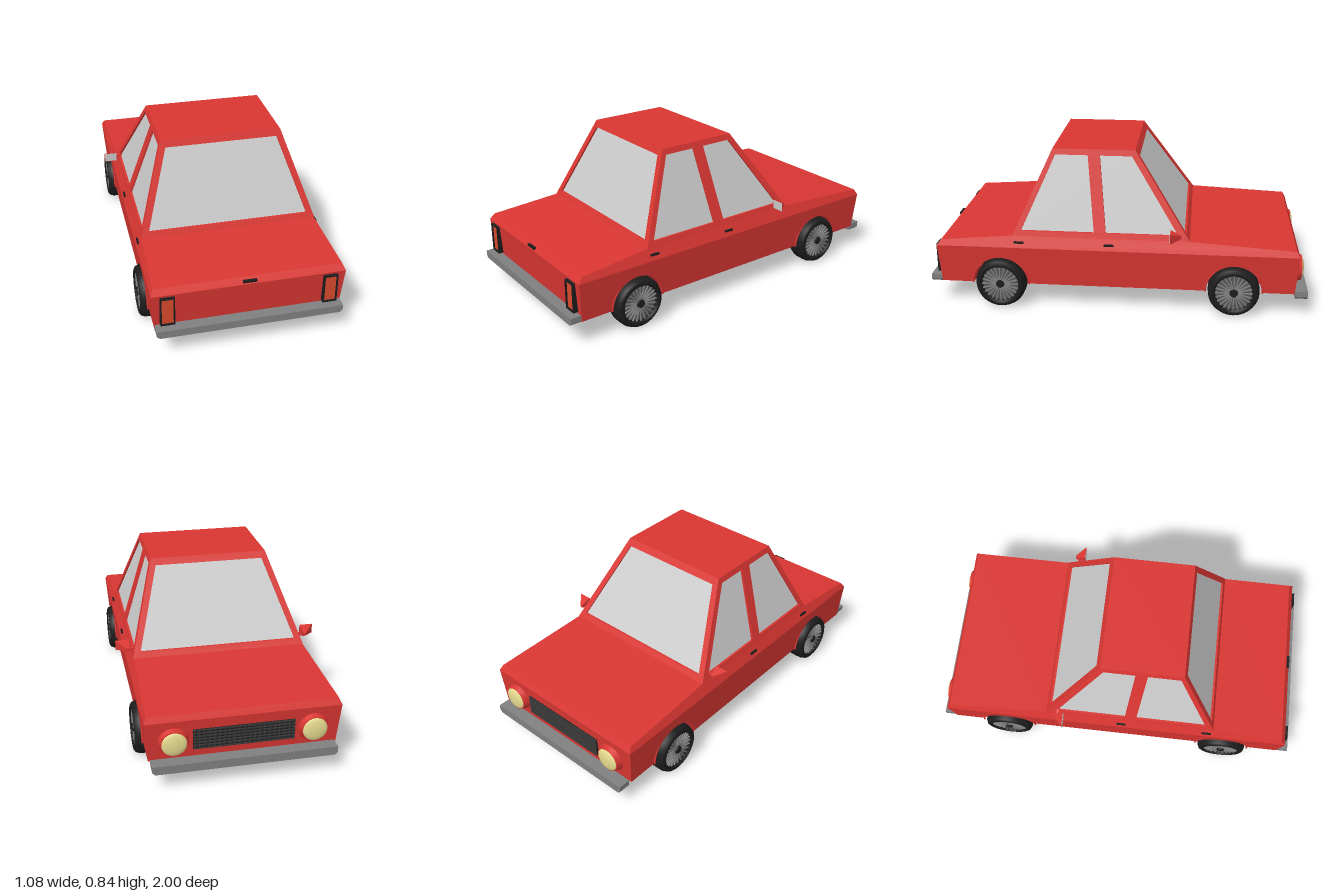
import * as THREE from 'three';

const paint = (color, extra = {}) => new THREE.MeshStandardMaterial({ color, ...extra });
const RED = paint(0xd93632), BLACK = paint(0x1c1c1c), STEEL = paint(0x808080), GLASS = paint(0xcccccc);
const LAMP = paint(0xe8dc90), TAIL = paint(0xd84a2c), GRILLE = paint(0x3a3a3a);

const lerp = (a, b, t) => a + (b - a) * t;
// Cabin outer faces as a function of height
const rise = y => (y - 0.4) / 0.44;
const sideX = y => lerp(0.46, 0.315, rise(y));
const rearZ = y => lerp(0.55, 0.35, rise(y));
const frontZ = y => lerp(-0.38, -0.085, rise(y));

const poly = pts => new THREE.Shape(pts.map(p => new THREE.Vector2(...p)));

// Move every vertex by a rule, then refresh the flat normals
function warp(geo, rule) {
  const p = geo.attributes.position;
  for (let i = 0; i < p.count; i++) p.setXYZ(i, ...rule(p.getX(i), p.getY(i), p.getZ(i)));
  geo.computeVertexNormals();
  return geo;
}

function extrude(shape, depth, curveSegments = 20) {
  return new THREE.ExtrudeGeometry(shape, { depth, bevelEnabled: false, curveSegments });
}

// Side profile drawn in (z, y), extruded across x and centred
function extrudeAcross(shape, width) {
  return extrude(shape, width).rotateY(-Math.PI / 2).translate(width / 2, 0, 0);
}

export function createModel() {
  const car = new THREE.Group();
  car.name = 'car';
  const add = (name, geo, mat, x = 0, y = 0, z = 0, parent = car) => {
    const m = new THREE.Mesh(geo, mat);
    m.name = name;
    m.position.set(x, y, z);
    parent.add(m);
    return m;
  };
  const box = (name, mat, w, h, d, x, y, z, parent) =>
    add(name, new THREE.BoxGeometry(w, h, d), mat, x, y, z, parent);

  const axles = [-0.615, 0.62];

  // Lower body with wheel arches, sides leaning outward to the shoulder line
  const lower = new THREE.Shape();
  lower.moveTo(0.94, 0.13);
  lower.lineTo(0.955, 0.34);
  lower.lineTo(-0.945, 0.34);
  lower.lineTo(-0.93, 0.13);
  for (const z of axles) lower.absarc(z, 0.13, 0.148, Math.PI, 0, true);
  add('lowerBody', warp(extrudeAcross(lower, 2), (x, y, z) =>
    [x * lerp(0.467, 0.484, (y - 0.13) / 0.21), y, z]), RED);
  box('floorCore', RED, 0.72, 0.2, 1.86, 0, 0.231, 0.005);

  // Hood, trunk lid and shoulders, narrowing upward
  const upper = poly([[0.955, 0.34], [0.932, 0.37], [0.55, 0.4], [-0.38, 0.4], [-0.928, 0.37], [-0.945, 0.34]]);
  add('upperBody', warp(extrudeAcross(upper, 2), (x, y, z) =>
    [x * lerp(0.484, 0.458, (y - 0.34) / 0.06), y, z]), RED);

  // Cabin side frames with two window openings each
  const T = 0.016;
  for (const s of [1, -1]) {
    const side = poly([[0.55, 0.4], [0.35, 0.84], [-0.085, 0.84], [-0.38, 0.4]]);
    side.holes.push(
      poly([[0.505, 0.427], [0.12, 0.427], [0.163, 0.81], [0.335, 0.81]]),
      poly([[0.058, 0.427], [-0.32, 0.427], [-0.068, 0.81], [0.1, 0.81]]));
    add(s > 0 ? 'leftWindowFrame' : 'rightWindowFrame', warp(extrudeAcross(side, T), (x, y, z) =>
      [x + s * (sideX(y) - T / 2), y, z]), RED);
  }

  // Frames of the two end windows
  for (const [name, face, shift] of [['rearWindowFrame', rearZ, -T], ['windshieldFrame', frontZ, 0]]) {
    const frame = poly([[-0.46, 0.4], [0.46, 0.4], [0.315, 0.84], [-0.315, 0.84]]);
    frame.holes.push(poly([[-0.418, 0.427], [-0.292, 0.807], [0.292, 0.807], [0.418, 0.427]]));
    add(name, warp(extrude(frame, T), (x, y, z) => [x, y, z + face(y) + shift]), RED);
  }

  // Glass core set slightly inside the frames, and the roof panel
  add('windowGlass', warp(new THREE.BoxGeometry(2, 0.42, 1).toNonIndexed().translate(0, 0.61, 0), (x, y, z) =>
    [x * (sideX(y) - 0.011), y, z > 0 ? rearZ(y) - 0.011 : frontZ(y) + 0.011]), GLASS);
  box('roof', RED, 0.626, 0.02, 0.43, 0, 0.83, 0.1325);

  // Bumpers with clipped lower corners
  for (const [name, w, y0, y1, z] of [['rearBumper', 0.467, 0.124, 0.165, 0.935], ['frontBumper', 0.457, 0.095, 0.14, -1]]) {
    const shape = poly([[-w + 0.014, y0], [w - 0.014, y0], [w, y0 + 0.014], [w, y1], [-w, y1], [-w, y0 + 0.014]]);
    add(name, extrude(shape, 0.065), STEEL, 0, 0, z);
  }

  // Grille with crossing bars
  const grille = new THREE.Group();
  grille.name = 'grille';
  car.add(grille);
  box('grillePanel', BLACK, 0.5, 0.105, 0.02, 0, 0.235, -0.936, grille);
  for (let i = 0; i < 7; i++) box('grilleBar', GRILLE, 0.5, 0.006, 0.01, 0, 0.186 + i * 0.0163, -0.946, grille);
  for (let i = 0; i < 21; i++) box('grilleSlat', GRILLE, 0.005, 0.105, 0.008, -0.245 + i * 0.0245, 0.235, -0.945, grille);

  // Wheel outline turned about its axle: tyre, then a recessed rim
  const V = (r, h) => new THREE.Vector2(r, h);
  const tyreGeo = new THREE.LatheGeometry([V(0, -0.057), V(0.112, -0.057), V(0.126, -0.05), V(0.134, -0.03),
    V(0.135, 0), V(0.134, 0.03), V(0.126, 0.05), V(0.114, 0.057), V(0.1, 0.056), V(0.096, 0.035), V(0, 0.035)], 36);
  const spokeGeo = new THREE.BoxGeometry(0.074, 0.008, 0.006).translate(0.06, 0.046, 0);

  for (const s of [1, -1]) {
    const hand = s > 0 ? 'left' : 'right';

    for (const z of axles) {
      const wheel = new THREE.Group();
      wheel.name = hand + (z < 0 ? 'FrontWheel' : 'RearWheel');
      wheel.position.set(s * 0.448, 0.135, z);
      wheel.rotation.z = -s * Math.PI / 2;
      car.add(wheel);
      add('tyre', tyreGeo, BLACK, 0, 0, 0, wheel);
      add('rimDisc', new THREE.CylinderGeometry(0.095, 0.095, 0.004, 32), paint(0x555555), 0, 0.036, 0, wheel);
      add('hub', new THREE.CylinderGeometry(0.02, 0.024, 0.02, 16), BLACK, 0, 0.046, 0, wheel);
      for (let i = 0; i < 24; i++)
        add('spoke', spokeGeo, STEEL, 0, 0, 0, wheel).rotation.y = i * Math.PI / 12;

      // Thin lip around the arch
      const lip = add('archLip', new THREE.TorusGeometry(0.15, 0.005, 6, 28, Math.PI), RED, s * 0.472, 0.13, z);
      lip.rotation.y = Math.PI / 2;
    }

    // Headlight: red ring with a domed lens
    const ring = add(hand + 'HeadlightRing', new THREE.CylinderGeometry(0.066, 0.078, 0.035, 32), RED, s * 0.345, 0.232, -0.95);
    ring.rotation.x = -Math.PI / 2;
    const lens = add(hand + 'Headlight', new THREE.SphereGeometry(0.062, 28, 10, 0, Math.PI * 2, 0, Math.PI / 2), LAMP, s * 0.345, 0.232, -0.966);
    lens.rotation.x = -Math.PI / 2;
    lens.scale.y = 0.25;

    // Tail light in a black surround
    const rim = poly([[-0.036, -0.078], [0.036, -0.078], [0.036, 0.078], [-0.036, 0.078]]);
    rim.holes.push(poly([[-0.029, -0.071], [-0.029, 0.071], [0.029, 0.071], [0.029, -0.071]]));
    add(hand + 'TailLightFrame', extrude(rim, 0.03), BLACK, s * 0.406, 0.252, 0.94);
    box(hand + 'TailLight', TAIL, 0.06, 0.144, 0.024, s * 0.406, 0.252, 0.95);

    // Door handles
    for (const z of [0.515, 0.04]) box(hand + 'DoorHandle', BLACK, 0.012, 0.01, 0.05, s * 0.473, 0.368, z);

    // Door mirror: tapered housing, glass facing rearward, short arm
    const mirror = new THREE.Group();
    mirror.name = hand + 'Mirror';
    mirror.position.set(s * 0.505, 0.44, -0.308);
    car.add(mirror);
    add('mirrorHousing', warp(new THREE.BoxGeometry(0.072, 0.052, 0.056).toNonIndexed(), (x, y, z) =>
      z < 0 ? [x * 0.2 - s * 0.022, y * 0.3 - 0.006, z] : [x, y, z]), RED, 0, 0, 0, mirror);
    box('mirrorGlass', GLASS, 0.066, 0.046, 0.004, 0, 0, 0.028, mirror);
    const arm = box('mirrorArm', RED, 0.06, 0.012, 0.014, -s * 0.045, -0.012, -0.006, mirror);
    arm.rotation.z = -s * 0.25;
  }

  // Trunk handle
  box('trunkHandle', BLACK, 0.07, 0.011, 0.02, 0, 0.353, 0.945);

  return car;
}
